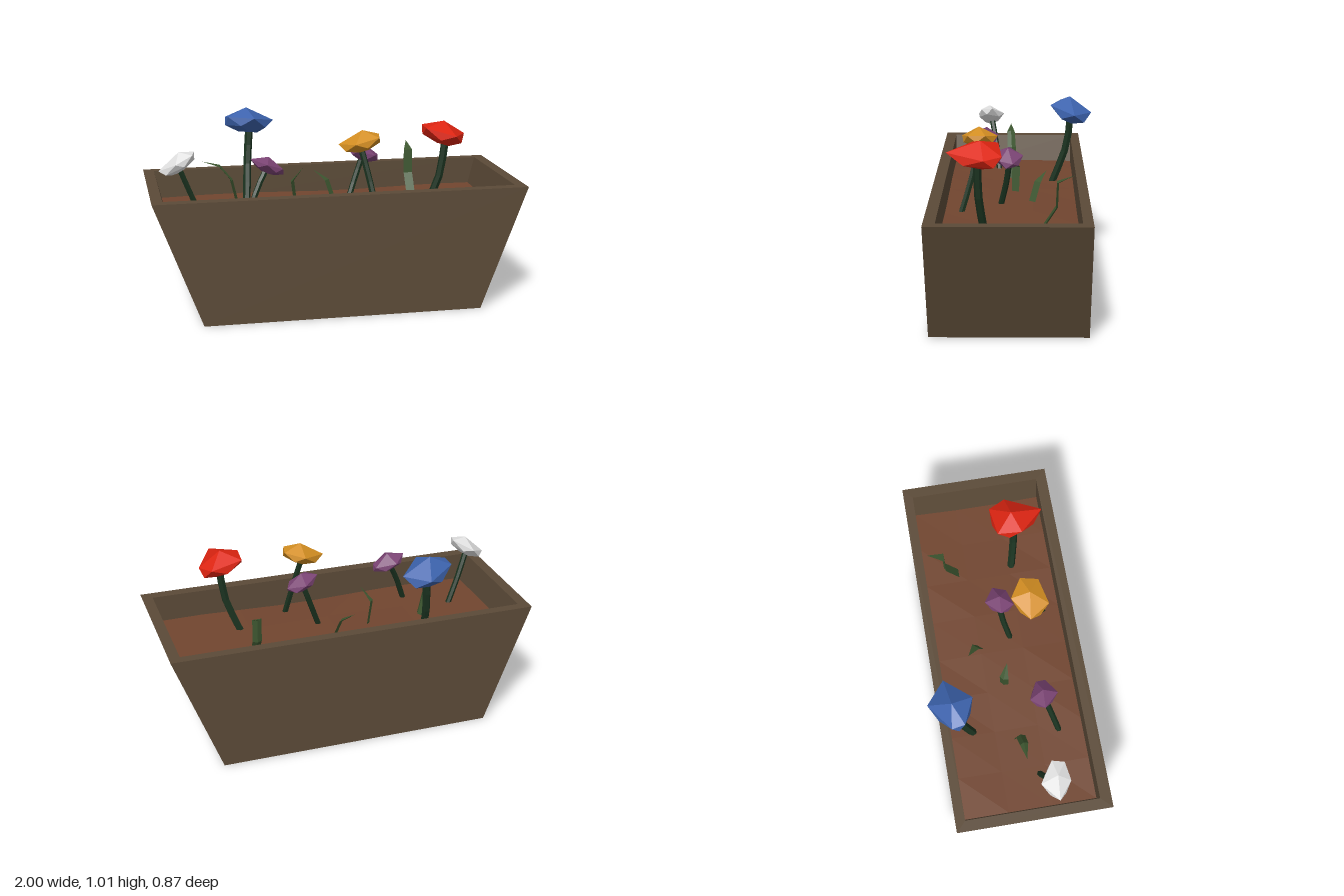
import * as THREE from 'three';
import { ConvexGeometry } from 'three/addons/geometries/ConvexGeometry.js';

const V = (x, y, z) => new THREE.Vector3(x, y, z);

function material(name, color, side = THREE.FrontSide) {
  const m = new THREE.MeshStandardMaterial({ color, flatShading: true, side });
  m.name = name;
  return m;
}

function mesh(name, geometry, mat) {
  const m = new THREE.Mesh(geometry, mat);
  m.name = name;
  return m;
}

function fromTriangles(points) {
  const g = new THREE.BufferGeometry().setFromPoints(points);
  g.computeVertexNormals();
  return g;
}

// Triangles joining successive closed loops of equal length
function loft(loops) {
  const tris = [];
  const n = loops[0].length;
  for (let k = 0; k < loops.length - 1; k++) {
    for (let i = 0; i < n; i++) {
      const j = (i + 1) % n;
      const [a, b, c, d] = [loops[k][i], loops[k][j], loops[k + 1][j], loops[k + 1][i]];
      tris.push(a, b, c, a, c, d);
    }
  }
  return tris;
}

// Trapezoid trough: outer wall, rim and inner wall, with a closed underside
function troughGeometry() {
  const rect = (x, z0, z1, y) => [V(-x, y, z1), V(x, y, z1), V(x, y, z0), V(-x, y, z0)];
  const loops = [
    rect(0.75, -0.387, 0.435, 0),
    rect(1, -0.387, 0.435, 0.665),
    rect(0.942, -0.335, 0.375, 0.665),
    rect(0.892, -0.335, 0.375, 0.46),
  ];
  const [a, b, c, d] = loops[0];
  return fromTriangles([...loft(loops), a, d, c, a, c, b]);
}

// Gently uneven soil
function soilGeometry() {
  const g = new THREE.PlaneGeometry(1.81, 0.71, 8, 3).rotateX(-Math.PI / 2).translate(0, 0.51, 0.02);
  const p = g.attributes.position;
  for (let i = 0; i < p.count; i++) {
    p.setY(i, p.getY(i) + 0.008 * Math.sin(p.getX(i) * 5 + 1) * Math.cos(p.getZ(i) * 7));
  }
  g.computeVertexNormals();
  return g;
}

// Faceted bloom: tilted wide ring, a staggered ring below it, a small base and a crown point
function bloomGeometry({ ring, y, bottom, top, tilt }) {
  const n = ring.length;
  const cx = ring.reduce((s, p) => s + p[0], 0) / n;
  const cz = ring.reduce((s, p) => s + p[1], 0) / n;
  const middles = ring.map(([x, z], i) => {
    const [x2, z2] = ring[(i + 1) % n];
    return [(x + x2) / 2, (z + z2) / 2];
  });
  const pts = [V(cx, top, cz)];
  const layer = (outline, scale, height) => outline.forEach(([x, z]) => {
    const dx = (x - cx) * scale, dz = (z - cz) * scale;
    pts.push(V(cx + dx, height + tilt[0] * dx + tilt[1] * dz, cz + dz));
  });
  layer(ring, 1, y);
  layer(middles, 1.08, y + (bottom - y) * 0.6);
  layer(ring, 0.4, bottom);
  return new ConvexGeometry(pts);
}

// Leaf: blade along a path with a shallow triangular section, pointed at the end
function leafGeometry(path, side, widths) {
  const s = V(...side).normalize();
  const pts = path.map((p) => V(...p));
  const loops = pts.map((p, i) => {
    const along = pts[Math.min(i + 1, pts.length - 1)].clone().sub(pts[Math.max(i - 1, 0)]);
    const keel = along.cross(s).normalize();
    return [
      p.clone().addScaledVector(s, -widths[i] / 2),
      p.clone().addScaledVector(s, widths[i] / 2),
      p.clone().addScaledVector(keel, widths[i] * 0.22),
    ];
  });
  return fromTriangles(loft(loops));
}

export function createModel() {
  const wood = material('brown wood', 0x5b4a37);
  const soil = material('soil', 0x71452f);
  const stemGreen = material('dark stem green', 0x1b3320);
  const leafGreen = material('leaf green', 0x3d5630, THREE.DoubleSide);
  const red = material('red petals', 0xdc2411);
  const blue = material('blue petals', 0x3c62ac);
  const orange = material('orange petals', 0xd38e22);
  const purple = material('purple petals', 0x7a4373);
  const white = material('white petals', 0xdedede);

  const model = new THREE.Group();
  model.name = 'flowerPlanter';
  model.add(mesh('planterBox', troughGeometry(), wood), mesh('soil', soilGeometry(), soil));

  // Flowers: bloom outline as x, z corners, heights, and the stem path
  const flowers = [
    { name: 'blueFlower', mat: blue, y: 0.953, bottom: 0.875, top: 1.015, tilt: [-0.1, 0.17], r: 0.022,
      ring: [[-0.535, -0.33], [-0.38, -0.435], [-0.26, -0.335], [-0.385, -0.2], [-0.525, -0.26]],
      stem: [[-0.435, 0.49, -0.21], [-0.415, 0.73, -0.295], [-0.4, 0.91, -0.315]] },
    { name: 'redFlower', mat: red, y: 0.938, bottom: 0.865, top: 0.99, tilt: [-0.2, 0], r: 0.021,
      ring: [[0.5, 0.08], [0.67, 0.06], [0.72, 0.15], [0.62, 0.34], [0.49, 0.21]],
      stem: [[0.5, 0.49, 0.155], [0.575, 0.69, 0.18], [0.605, 0.9, 0.185]] },
    { name: 'orangeFlower', mat: orange, y: 0.91, bottom: 0.85, top: 0.96, tilt: [0.2, 0], r: 0.017,
      ring: [[0.015, 0.175], [0.14, 0.09], [0.24, 0.155], [0.22, 0.25], [0.085, 0.285]],
      stem: [[0.21, 0.49, 0.29], [0.175, 0.69, 0.23], [0.13, 0.88, 0.19]] },
    { name: 'whiteFlower', mat: white, y: 0.83, bottom: 0.772, top: 0.875, tilt: [0.5, 0], r: 0.016,
      ring: [[-0.945, 0.16], [-0.855, 0.075], [-0.755, 0.145], [-0.77, 0.21], [-0.86, 0.23]],
      stem: [[-0.715, 0.49, 0.1], [-0.79, 0.67, 0.125], [-0.84, 0.8, 0.15]] },
    { name: 'leftPurpleFlower', mat: purple, y: 0.81, bottom: 0.76, top: 0.853, tilt: [-0.3, 0], r: 0.016,
      ring: [[0.095, 0.03], [0.18, -0.045], [0.27, 0.01], [0.24, 0.08], [0.14, 0.105]],
      stem: [[0.07, 0.49, 0.08], [0.14, 0.68, 0.04], [0.18, 0.79, 0.03]] },
    { name: 'rightPurpleFlower', mat: purple, y: 0.79, bottom: 0.742, top: 0.832, tilt: [-0.35, 0.1], r: 0.016,
      ring: [[-0.46, 0.17], [-0.395, 0.1], [-0.29, 0.15], [-0.29, 0.2], [-0.38, 0.25]],
      stem: [[-0.5, 0.49, 0.25], [-0.43, 0.67, 0.205], [-0.375, 0.77, 0.175]] },
  ];
  for (const f of flowers) {
    const group = new THREE.Group();
    group.name = f.name;
    const curve = new THREE.CatmullRomCurve3(f.stem.map((p) => V(...p)));
    group.add(
      mesh('stem', new THREE.TubeGeometry(curve, 4, f.r, 6), stemGreen),
      mesh('bloom', bloomGeometry(f), f.mat),
    );
    model.add(group);
  }

  // Loose leaves growing from the soil
  const leaves = [
    { path: [[-0.505, 0.49, 0.02], [-0.55, 0.68, 0.025], [-0.615, 0.76, 0.03], [-0.705, 0.79, 0.03]],
      side: [0.1, 0, 1], widths: [0.05, 0.05, 0.045, 0] },
    { path: [[0.505, 0.48, -0.125], [0.505, 0.62, -0.215], [0.505, 0.752, -0.22], [0.515, 0.79, -0.31]],
      side: [1, 0, 0], widths: [0.05, 0.05, 0.05, 0] },
    { path: [[-0.185, 0.49, 0], [-0.205, 0.65, -0.005], [-0.15, 0.73, 0.02]],
      side: [0.45, 0, -0.9], widths: [0.045, 0.05, 0] },
    { path: [[0.05, 0.48, -0.085], [0.01, 0.62, -0.125], [-0.055, 0.668, -0.175]],
      side: [0.65, 0, -0.76], widths: [0.045, 0.045, 0] },
  ];
  leaves.forEach((l, i) => model.add(mesh(`leaf${i + 1}`, leafGeometry(l.path, l.side, l.widths), leafGreen)));

  return model;
}
